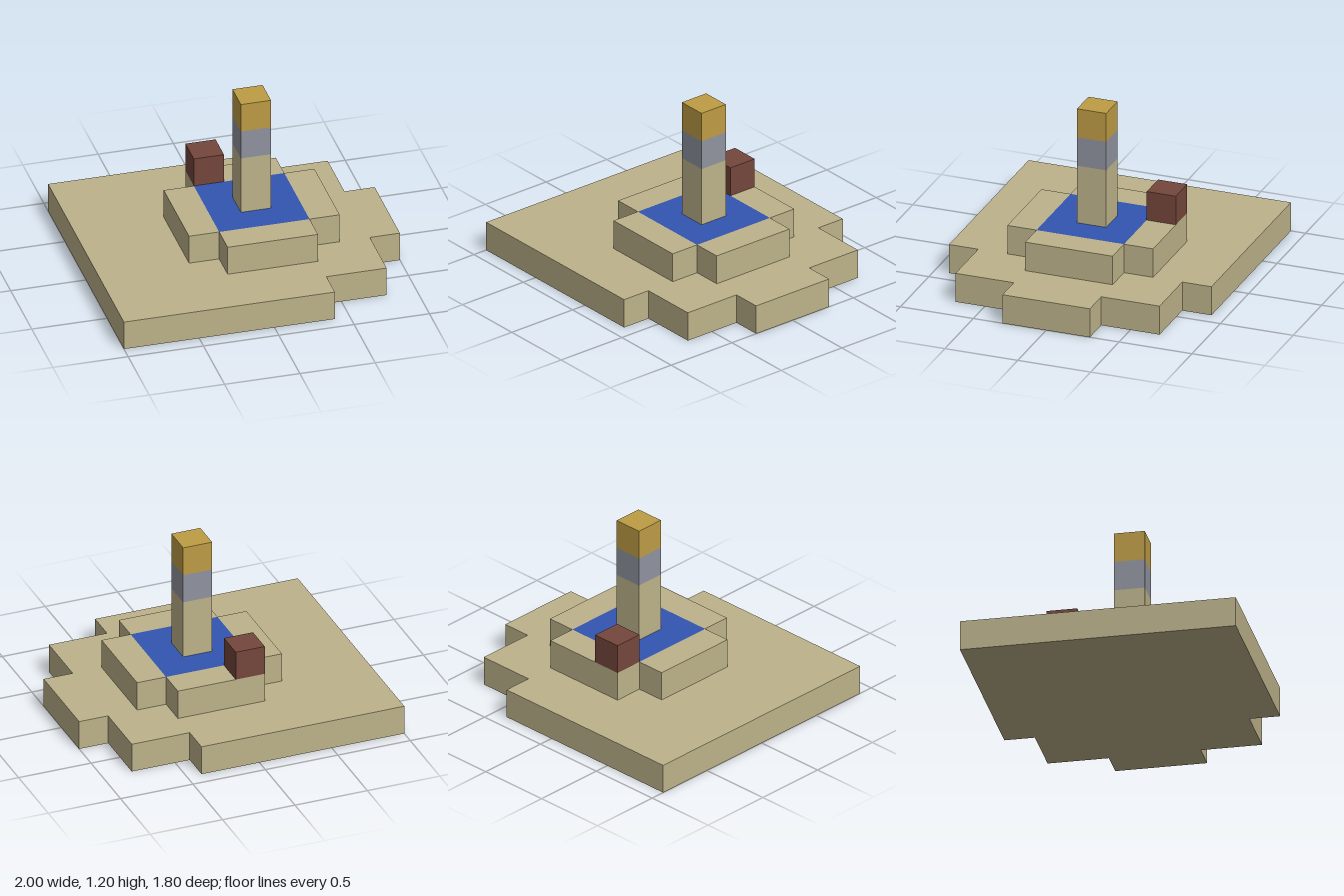
import * as THREE from 'three';

const paint = (name, color) => {
  const material = new THREE.MeshStandardMaterial({ color });
  material.name = name;
  return material;
};

export function createModel() {
  const stone = paint('sandstone', 0xbdb28a);
  const blue = paint('water blue', 0x3355b1);
  const grey = paint('grey stone', 0x90939f);
  const gold = paint('gold', 0xbe9c45);
  const brown = paint('brown', 0x74463b);

  const model = new THREE.Group();
  model.name = 'fountain';

  // Box given by its lower and upper corners
  const block = (name, material, [x0, y0, z0], [x1, y1, z1], parent = model) => {
    const mesh = new THREE.Mesh(new THREE.BoxGeometry(x1 - x0, y1 - y0, z1 - z0), material);
    mesh.position.set((x0 + x1) / 2, (y0 + y1) / 2, (z0 + z1) / 2);
    mesh.name = name;
    parent.add(mesh);
  };

  // Paved base: square on the left side, stepped on the other, mirrored in z
  const half = [[-1, 0.9], [0.4, 0.9], [0.4, 0.7], [0.8, 0.7], [0.8, 0.3], [1, 0.3]];
  const outline = [...half, ...half.map(([x, z]) => [x, -z]).reverse()];
  const baseShape = new THREE.Shape(outline.map(([x, z]) => new THREE.Vector2(x, z)));
  const baseGeometry = new THREE.ExtrudeGeometry(baseShape, { depth: 0.2, bevelEnabled: false });
  baseGeometry.rotateX(-Math.PI / 2);
  const base = new THREE.Mesh(baseGeometry, stone);
  base.name = 'base';
  model.add(base);

  // Basin: four walls around the water, with open corners
  const basin = new THREE.Group();
  basin.name = 'basin';
  model.add(basin);
  block('frontWall', stone, [-0.2, 0.2, 0.3], [0.4, 0.4, 0.5], basin);
  block('backWall', stone, [-0.2, 0.2, -0.5], [0.4, 0.4, -0.3], basin);
  block('rightWall', stone, [-0.4, 0.2, -0.3], [-0.2, 0.4, 0.3], basin);
  block('leftWall', stone, [0.4, 0.2, -0.3], [0.6, 0.4, 0.3], basin);
  block('water', blue, [-0.2, 0.2, -0.3], [0.4, 0.4, 0.3], basin);

  // Central pillar in three bands
  block('pillar', stone, [0, 0.4, -0.1], [0.2, 0.8, 0.1]);
  block('pillarBand', grey, [0, 0.8, -0.1], [0.2, 1, 0.1]);
  block('pillarTop', gold, [0, 1, -0.1], [0.2, 1.2, 0.1]);

  // Small block standing on the back wall
  block('brownBlock', brown, [-0.2, 0.4, -0.5], [0, 0.6, -0.3]);

  return model;
}
